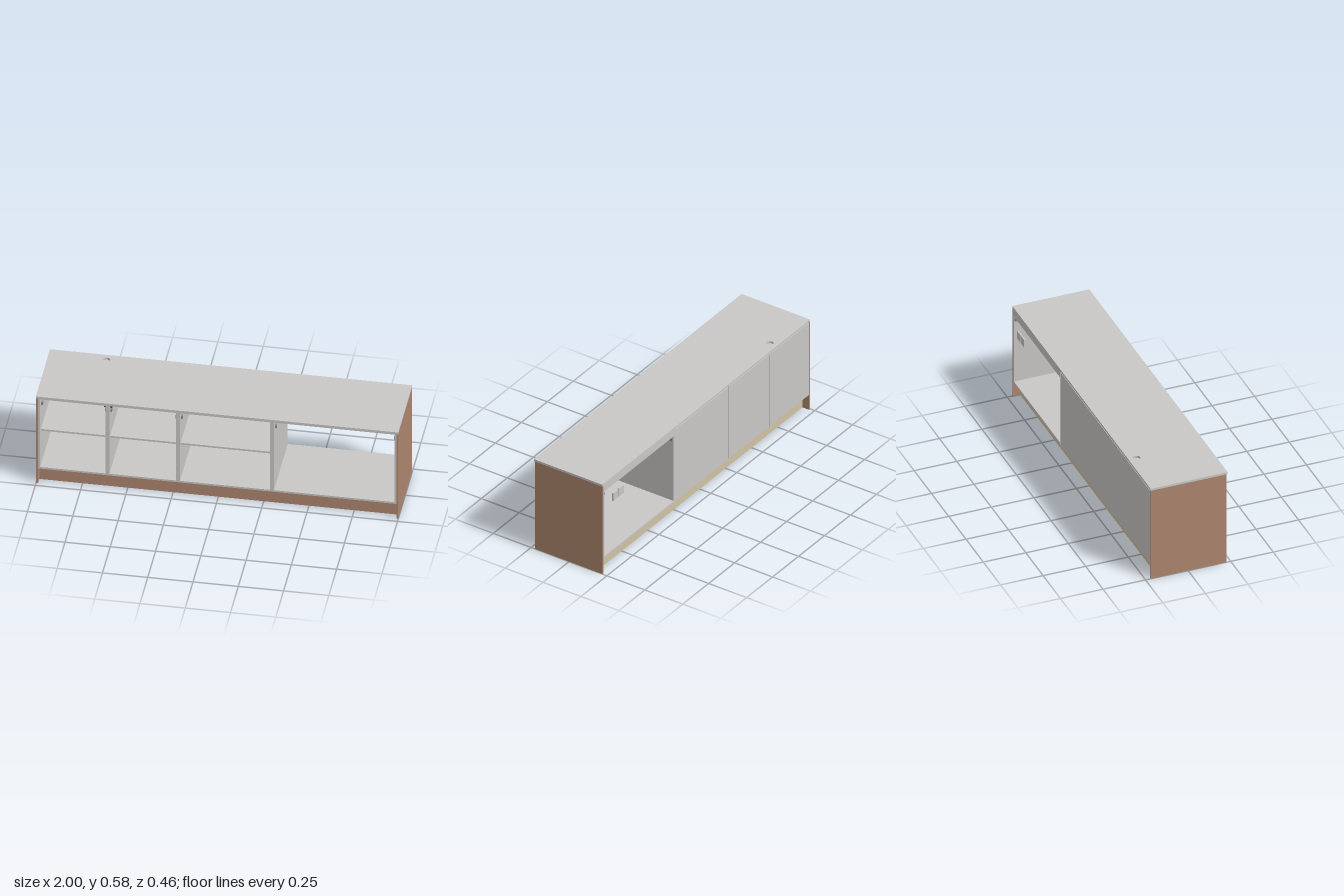
import * as THREE from 'three';

export function createModel() {
  const root = new THREE.Group();
  root.name = 'sideboard';
  const mat = (name, color) => {
    const m = new THREE.MeshStandardMaterial({ color });
    m.name = name;
    return m;
  };
  const grey = mat('light grey board', 0xcac8c6);
  const brown = mat('brown wood', 0xae876f);
  const beige = mat('raw plywood', 0xd0c3a3);
  const dark = mat('dark metal', 0x333333);
  const steel = mat('steel fittings', 0x8c8a88);

  // Box given by its limits on each axis
  const box = (name, m, x0, x1, y0, y1, z0, z1, parent = root) => {
    const mesh = new THREE.Mesh(new THREE.BoxGeometry(x1 - x0, y1 - y0, z1 - z0), m);
    mesh.position.set((x0 + x1) / 2, (y0 + y1) / 2, (z0 + z1) / 2);
    mesh.name = name;
    parent.add(mesh);
    return mesh;
  };

  const T = 0.011, BACK = -0.22, FRONT = 0.222;
  const FLOOR = 0.095, TOP = 0.567, INNER = 0.989;

  // Worktop with a round cable hole near the back
  const outline = new THREE.Shape();
  outline.moveTo(-1, -0.232).lineTo(1, -0.232).lineTo(1, 0.22).lineTo(-1, 0.22).closePath();
  const hole = new THREE.Path();
  hole.absarc(-0.68, 0.173, 0.021, 0, Math.PI * 2, true);
  outline.holes.push(hole);
  const topGeo = new THREE.ExtrudeGeometry(outline, { depth: 0.013, bevelEnabled: false, curveSegments: 24 });
  topGeo.rotateX(-Math.PI / 2);
  const worktop = new THREE.Mesh(topGeo, grey);
  worktop.position.y = TOP;
  worktop.name = 'worktop';
  root.add(worktop);

  // Outer end panels
  for (const s of [-1, 1]) {
    const p = box('endPanel', brown, -0.0052, 0.0052, 0, TOP, BACK, 0.225);
    p.position.x = s * 0.9942;
  }

  // Plinth: front board, back board and cross pieces
  box('frontPlinth', brown, -INNER, INNER, 0, FLOOR, 0.174, 0.186);
  box('backPlinth', beige, -INNER, INNER, 0, FLOOR, -0.176, -0.165);
  for (const x of [-0.982, -0.607, -0.217, 0.3, 0.982])
    box('plinthCrossPiece', beige, x - 0.0055, x + 0.0055, 0.002, FLOOR, -0.165, 0.174);

  // Four cabinets side by side, the last one open at the back
  const edges = [-INNER, -0.607, -0.217, 0.302, INNER];
  for (let i = 0; i < 4; i++) {
    const a = edges[i], b = edges[i + 1], open = i === 3;
    const g = new THREE.Group();
    g.name = open ? 'openCabinet' : 'shelfCabinet';
    root.add(g);
    const z0 = open ? BACK : -0.208;
    box('cabinetSide', grey, a, a + T, FLOOR, TOP, z0, FRONT, g);
    box('cabinetSide', grey, b - T, b, FLOOR, TOP, z0, FRONT, g);
    box('cabinetFloor', grey, a + T, b - T, FLOOR, FLOOR + T, z0, FRONT, g);
    box('cabinetTop', grey, a + T, b - T, TOP - T, TOP, z0, FRONT, g);
    if (open) {
      box('backRail', grey, a + T, b - T, 0.526, TOP - T, BACK, BACK + T, g);
    } else {
      box('backPanel', grey, a + 0.002, b - 0.002, FLOOR + 0.002, TOP - 0.004, BACK, -0.208, g);
      box('shelf', grey, a + T, b - T, 0.333, 0.344, -0.208, 0.2, g);
    }

    // Small catches under the top of the wide cabinets
    if (i >= 2) {
      const c = (a + b) / 2;
      for (const s of [-1, 1])
        box('topCatch', dark, c + s * 0.034 - 0.005, c + s * 0.034 + 0.005, 0.549, TOP - T, 0.17, 0.195, g);
    }

    // Fittings on the inner side walls
    for (const s of [1, -1]) {
      const x = s > 0 ? a + T : b - T;
      const fit = (name, m, w, y0, y1, z0, z1) =>
        box(name, m, Math.min(x, x + s * w), Math.max(x, x + s * w), y0, y1, z0, z1, g);
      if (i !== 2 || s > 0) fit('wallFitting', steel, 0.009, 0.496, 0.514, 0.17, 0.188);
      if (open) fit('wallFitting', steel, 0.009, 0.496, 0.514, -0.215, -0.2);
      if ((i === 0 && s < 0) || (i === 1 && s > 0)) fit('sideCatch', dark, 0.012, 0.532, 0.543, 0.17, 0.2);
    }
  }

  // Pair of wall sockets behind the open cabinet
  for (const x of [0.829, 0.885])
    box('socket', grey, x - 0.024, x + 0.024, 0.428, 0.478, -0.23, BACK);

  return root;
}
